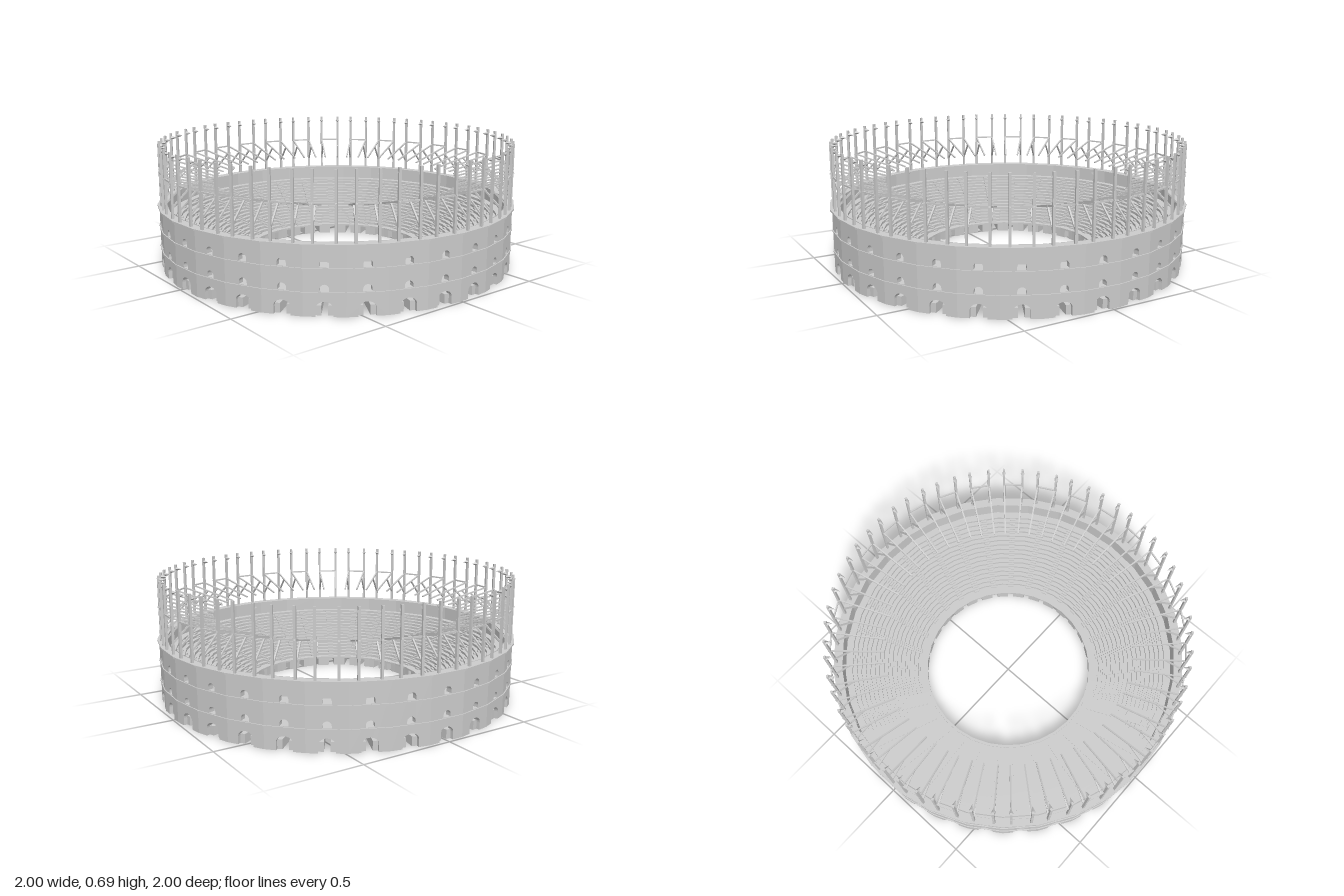
import * as THREE from 'three';
import { mergeGeometries } from 'three/addons/utils/BufferGeometryUtils.js';

const BAYS = 31;
const STEP = (Math.PI * 2) / BAYS;
const OFFSET = 0.043;            // angle of the first arch from the front
const R = 0.99;                  // corner radius of the outer wall
const HALF = STEP / 2;

const material = new THREE.MeshStandardMaterial({
  color: 0xcccccc, flatShading: true, side: THREE.DoubleSide,
});

function merge(list) {
  return mergeGeometries(list.map((g) => {
    const n = g.index ? g.toNonIndexed() : g;
    n.deleteAttribute('uv');
    return n;
  }));
}

// repeats one bay's geometry all the way round
function ring(name, parts, angle = OFFSET) {
  const bay = merge(parts);
  const copies = [];
  for (let i = 0; i < BAYS; i++) copies.push(bay.clone().rotateY(angle + i * STEP));
  const mesh = new THREE.Mesh(mergeGeometries(copies), material);
  mesh.name = name;
  return mesh;
}

// faceted band turned from a [radius, height] profile
function band(name, profile) {
  const pts = profile.map(([r, y]) => new THREE.Vector2(r, y));
  const mesh = new THREE.Mesh(
    new THREE.LatheGeometry(pts, BAYS, OFFSET - HALF, Math.PI * 2), material);
  mesh.name = name;
  return mesh;
}

function box(w, h, d, x, y, z) {
  return new THREE.BoxGeometry(w, h, d).translate(x, y, z);
}

// square timber between two points
function strut(a, b, t) {
  const from = new THREE.Vector3(...a), to = new THREE.Vector3(...b);
  const dir = to.clone().sub(from);
  const g = new THREE.BoxGeometry(t, dir.length(), t);
  g.applyQuaternion(new THREE.Quaternion().setFromUnitVectors(
    new THREE.Vector3(0, 1, 0), dir.normalize()));
  const mid = from.add(to).multiplyScalar(0.5);
  return g.translate(mid.x, mid.y, mid.z);
}

// round-headed window opening
function archHole(w, y0, h) {
  const p = new THREE.Path();
  p.moveTo(-w / 2, y0);
  p.lineTo(w / 2, y0);
  p.lineTo(w / 2, y0 + h - w / 2);
  p.absarc(0, y0 + h - w / 2, w / 2, 0, Math.PI, false);
  p.lineTo(-w / 2, y0);
  return p;
}

// one flat wall panel with a ground arch and two windows
function wallPanel() {
  const c = R * Math.sin(HALF), a = 0.042;
  const s = new THREE.Shape();
  s.moveTo(-c, 0);
  s.lineTo(-a, 0);
  s.lineTo(-a, 0.04);
  s.absellipse(0, 0.04, a, 0.033, Math.PI, 0, true);
  s.lineTo(a, 0);
  s.lineTo(c, 0);
  s.lineTo(c, 0.34);
  s.lineTo(-c, 0.34);
  s.closePath();
  s.holes.push(archHole(0.044, 0.122, 0.034), archHole(0.044, 0.237, 0.038));
  return new THREE.ExtrudeGeometry(s, { depth: 0.035, bevelEnabled: false, curveSegments: 6 })
    .translate(0, 0, R * Math.cos(HALF) - 0.035);
}

// solid base block lying between two radial passages
function baseWedge() {
  const g = 0.016, h = 0.048;
  const edge = (r, side) => [
    side * (r * Math.sin(HALF) - g * Math.cos(HALF)),
    r * Math.cos(HALF) + g * Math.sin(HALF)];
  const s = new THREE.Shape();
  s.moveTo(...edge(0.49, -1));
  s.lineTo(0, 0.49);
  s.lineTo(...edge(0.49, 1));
  s.lineTo(...edge(0.965, 1));
  s.lineTo(0, 0.97);
  s.lineTo(...edge(0.965, -1));
  s.closePath();
  return new THREE.ExtrudeGeometry(s, { depth: h, bevelEnabled: false })
    .rotateX(Math.PI / 2).translate(0, h, 0);
}

export function createModel() {
  const model = new THREE.Group();
  model.name = 'amphitheatre';

  // outer wall, base and cornices
  model.add(ring('outerWall', [wallPanel()]));
  model.add(ring('baseBlocks', [baseWedge()], OFFSET + HALF));
  for (const y of [0.115, 0.23]) {
    model.add(band('cornice', [[R - 0.01, y - 0.005], [R + 0.005, y - 0.003],
      [R + 0.005, y + 0.004], [R - 0.01, y + 0.005]]));
  }
  model.add(band('topCornice', [[R - 0.01, 0.336], [1.0, 0.339], [1.0, 0.348],
    [0.95, 0.348]]));

  // gallery floors behind the windows
  model.add(band('lowerGalleryFloor', [[0.69, 0.115], [0.965, 0.115]]));
  model.add(band('upperGalleryFloor', [[0.885, 0.23], [0.965, 0.23]]));

  // stepped seating with podium walk and back wall
  const rows = 16, r0 = 0.55, r1 = 0.93, y0 = 0.05, y1 = 0.272;
  const dr = (r1 - r0) / rows, dy = (y1 - y0) / rows;
  const profile = [[0.49, 0.046], [0.49, 0.056], [0.505, 0.056], [0.505, y0], [r0, y0]];
  const stairs = [];
  for (let i = 0; i < rows; i++) {
    const r = r0 + i * dr, y = y0 + (i + 1) * dy;
    profile.push([r, y], [r + dr, y]);
    // half-height step in the aisle
    stairs.push(box(0.034, dy / 2, dr / 2, 0, y - dy * 0.75, r * Math.cos(HALF) - dr / 4));
  }
  profile.push([0.945, y1], [0.945, 0.348]);
  model.add(band('seating', profile));
  model.add(ring('aisleStairs', stairs));

  // paired masts with inward beams, braces and pegs
  const masts = [], beams = [];
  for (const s of [-1, 1]) {
    const x = s * 0.054, z = 0.977;
    masts.push(box(0.013, 0.345, 0.013, x, 0.5175, z));
    masts.push(new THREE.ConeGeometry(0.012, 0.032, 4).rotateX(-Math.PI / 2)
      .translate(x, 0.665, z - 0.02));
    beams.push(strut([x, 0.535, z + 0.01], [s * 0.038, 0.46, 0.69], 0.008));
    beams.push(strut([x, 0.405, z], [s * 0.049, 0.507, 0.87], 0.008));
  }
  beams.push(box(0.108, 0.008, 0.008, 0, 0.533, 0.977));
  model.add(ring('masts', masts));
  model.add(ring('awningBeams', beams));

  return model;
}
